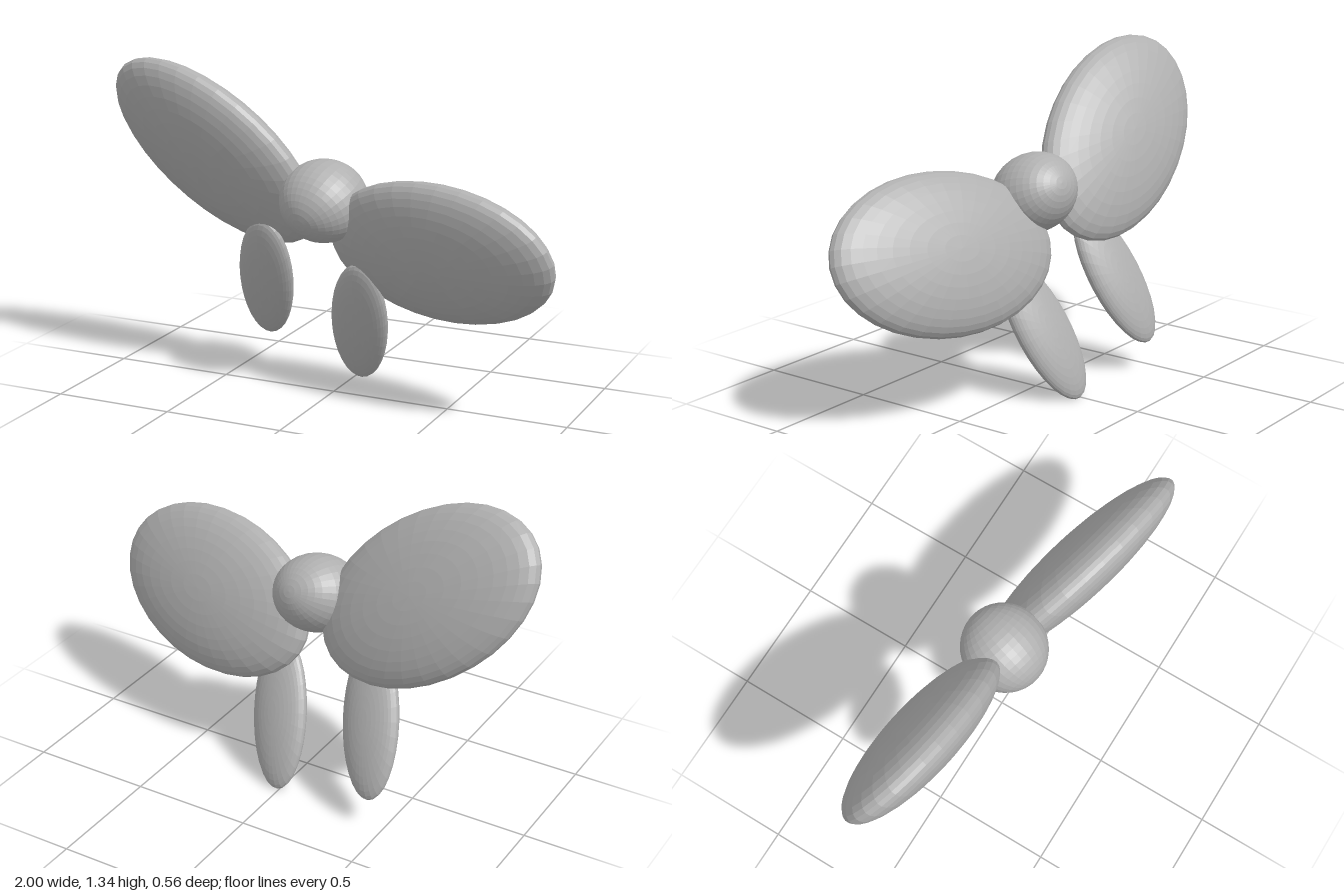
import * as THREE from 'three';

export function createModel() {
  const model = new THREE.Group();
  model.name = 'bow';

  const grey = new THREE.MeshStandardMaterial({ color: 0xb0b0b0, flatShading: true });
  grey.name = 'grey';

  // Unit ball with its poles along z, so the rings run round each flat lobe
  const ball = new THREE.SphereGeometry(1, 32, 20).rotateX(Math.PI / 2);

  // Upright bow in its own plane, then tilted as one piece
  const bow = new THREE.Group();
  bow.name = 'tiltedBow';
  const across = new THREE.Vector3(0.957, -0.273, 0.089).normalize();
  const up = new THREE.Vector3(0.211, 0.88, 0.426).normalize();
  const facing = new THREE.Vector3().crossVectors(across, up).normalize();
  up.crossVectors(facing, across);
  bow.quaternion.setFromRotationMatrix(new THREE.Matrix4().makeBasis(across, up, facing));
  bow.position.set(-0.03, 0.812, 0.03);
  model.add(bow);

  function lobe(name, position, radii, turn = 0) {
    const mesh = new THREE.Mesh(ball, grey);
    mesh.name = name;
    mesh.position.set(...position);
    mesh.scale.set(...radii);
    mesh.rotation.z = turn;
    bow.add(mesh);
  }

  // Centre knot
  lobe('knot', [0, 0, 0], [0.18, 0.16, 0.18]);

  // Mirrored loops and hanging tails
  for (const [side, s] of [['left', 1], ['right', -1]]) {
    lobe(side + 'Loop', [0.538 * s, 0, 0], [0.522, 0.326, 0.122], s * 0.384);
    lobe(side + 'Tail', [0.233 * s, -0.494, 0.076], [0.318, 0.133, 0.056].map((r, i, a) => a[[1, 0, 2][i]]));
  }

  return model;
}
